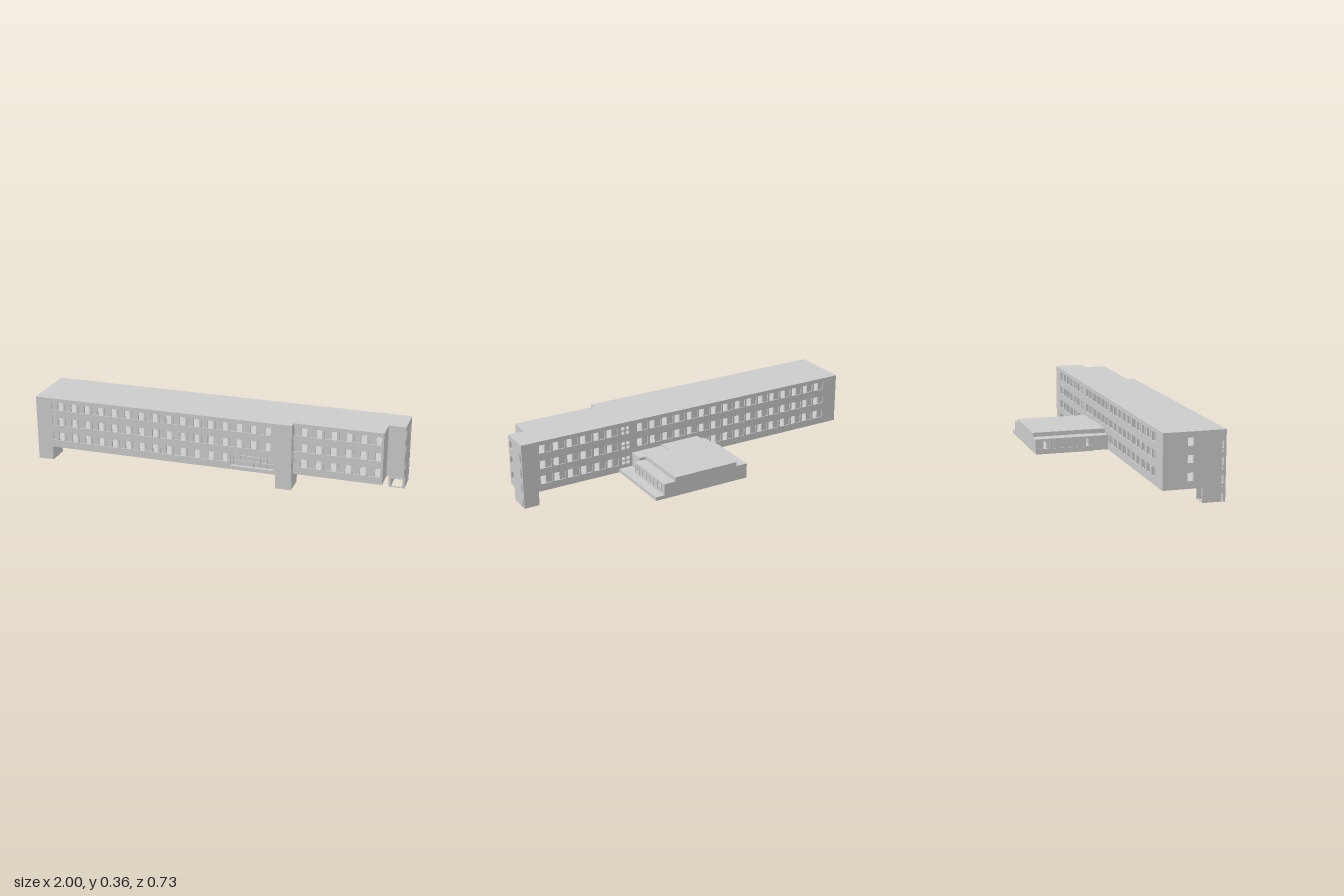
import * as THREE from 'three';

const mat = new THREE.MeshStandardMaterial({ color: 0xcccccc, side: THREE.DoubleSide, flatShading: true });
const BASE = 0.08, TOP = 0.36, T = 0.012;
const ROWS = [[0.117, 0.164], [0.205, 0.25], [0.292, 0.338]];
const BAY = 0.078, WIN = 0.067;

function add(parent, name, geometry) {
  const mesh = new THREE.Mesh(geometry, mat);
  mesh.name = name;
  parent.add(mesh);
  return mesh;
}

// Box given by its limits on each axis
function box(parent, name, x0, x1, y0, y1, z0, z1) {
  const mesh = add(parent, name, new THREE.BoxGeometry(x1 - x0, y1 - y0, z1 - z0));
  mesh.position.set((x0 + x1) / 2, (y0 + y1) / 2, (z0 + z1) / 2);
  return mesh;
}

function rectPath(u0, u1, y0, y1) {
  return new THREE.Path([[u0, y0], [u1, y0], [u1, y1], [u0, y1]].map(p => new THREE.Vector2(...p)));
}

// Upright wall from plan point a to b, outside on the right of the walk.
// legs: spans that reach the ground; holes: [u0, u1, y0, y1]; panes: holes given a half pane
function wall(parent, name, a, b, { y0 = BASE, y1 = TOP, legs = [], holes = [], windows = [] } = {}) {
  const dx = b[0] - a[0], dz = b[1] - a[1], length = Math.hypot(dx, dz);
  const pts = [[0, y0]];
  for (const [u0, u1] of legs) pts.push([u0, y0], [u0, 0], [u1, 0], [u1, y0]);
  pts.push([length, y0], [length, y1], [0, y1]);
  const clean = pts.map(p => new THREE.Vector2(...p)).filter((p, i, all) => i === 0 || p.distanceTo(all[i - 1]) > 1e-5);
  // drop the zero-width steps where a leg meets the end of the wall
  const outline = clean.filter((p, i) => !(p.y === y0 && legs.some(([u0, u1]) =>
    (p.x < 1e-5 && u0 < 1e-5) || (p.x > length - 1e-5 && u1 > length - 1e-5))));
  const shape = new THREE.Shape(outline);
  for (const h of [...holes, ...windows]) shape.holes.push(rectPath(...h));
  const group = new THREE.Group();
  group.name = name;
  group.position.set(a[0], 0, a[1]);
  group.rotation.y = Math.atan2(-dz, dx);
  const geometry = new THREE.ExtrudeGeometry(shape, { depth: T, bevelEnabled: false });
  geometry.translate(0, 0, -T);
  add(group, name + 'Panel', geometry);
  for (const [u0, u1, v0, v1] of windows) {
    const mid = (u0 + u1) / 2;
    const left = dx < 0 ? mid : u0; // panes of facing walls line up
    box(group, 'windowPane', left, left + (u1 - u0) / 2, v0, v1, -0.009, -0.006);
    box(group, 'mullion', mid - 0.002, mid + 0.002, v0, v1, -T, -0.002);
  }
  parent.add(group);
}

// Stepped floor plate of the main block, drawn in from the wall faces
function plate(parent, name, y0, y1, d = 0.003) {
  const plan = [[-1 + d, 0.04 + d], [1 - d, 0.04 + d], [1 - d, 0.207 - d], [0.91 - d, 0.207 - d],
    [0.91 - d, 0.325 - d], [0.44 - d, 0.325 - d], [0.44 - d, 0.365 - d], [-1 + d, 0.365 - d]];
  const shape = new THREE.Shape(plan.map(([x, z]) => new THREE.Vector2(x, -z)));
  const geometry = new THREE.ExtrudeGeometry(shape, { depth: y1 - y0, bevelEnabled: false });
  geometry.rotateX(-Math.PI / 2).translate(0, y0, 0);
  add(parent, name, geometry);
}

// Grid of window openings as [x0, x1, y0, y1]
function bays(start, count, keep = () => true) {
  const list = [];
  ROWS.forEach(([y0, y1], row) => {
    for (let i = 0; i < count; i++) {
      if (keep(row, i)) list.push([start + i * BAY, start + i * BAY + WIN, y0, y1]);
    }
  });
  return list;
}

function mainBlock() {
  const g = new THREE.Group();
  g.name = 'mainBlock';
  const shift = (list, o) => list.map(([a, b, c, d]) => [a + o, b + o, c, d]);
  const slits = (u0, u1) => [[0.003, 0.043], [0.073, 0.132], [0.16, 0.22], [0.25, 0.305]].map(r => [u0, u1, ...r]);
  const ends = (u0, u1) => [[0.115, 0.157], [0.205, 0.245], [0.29, 0.33]].map(r => [u0, u1, ...r]);

  // Front: long wall with the entrance opening, then the set-back wing and the end tower
  const frontBays = bays(-0.909, 16, (row, i) => row > 0 || i < 13);
  wall(g, 'frontWall', [-1, 0.365], [0.44, 0.365], {
    legs: [[0, 0.085], [1.355, 1.44]], windows: shift(frontBays, 1), holes: [[1.11, 1.345, 0.097, 0.166]],
  });
  wall(g, 'projectionSide', [0.44, 0.365], [0.44, 0.325], { legs: [[0, 0.04]], holes: slits(0.005, 0.021) });
  wall(g, 'wingFront', [0.44, 0.325], [0.91, 0.325], { windows: shift(bays(0.444, 6), -0.44) });
  wall(g, 'wingSide', [0.91, 0.325], [0.91, 0.207]);
  wall(g, 'towerFront', [0.91, 0.207], [1, 0.207]);
  wall(g, 'towerSide', [1, 0.207], [1, 0.04], {
    legs: [[0.044, 0.167]], holes: [...slits(0.141, 0.159), ...ends(0.01, 0.04)],
  });

  // Back wall with the same bays and small paired lights between them
  const backBays = [...bays(-0.909, 16), ...bays(0.444, 6)].map(([a, b, c, d]) => [1 - b, 1 - a, c, d]);
  const lights = [];
  for (const [y0] of ROWS) for (const x of [0.375, 0.403]) for (const y of [y0, y0 + 0.026]) {
    lights.push([1 - x - 0.02, 1 - x, y, y + 0.018]);
  }
  wall(g, 'backWall', [1, 0.04], [-1, 0.04], { legs: [[0, 0.085]], windows: backBays, holes: lights });
  wall(g, 'leftEnd', [-1, 0.04], [-1, 0.365], {
    legs: [[0.205, 0.325]], holes: [...slits(0.304, 0.32), ...ends(0.127, 0.157)],
  });

  // Floors, roof and inner core
  plate(g, 'baseSlab', BASE - 0.003, 0.09, 0);
  plate(g, 'secondFloor', 0.172, 0.18);
  plate(g, 'thirdFloor', 0.26, 0.268);
  plate(g, 'roof', 0.348, TOP, 0);
  box(g, 'corePartition', 0.13, 0.43, 0.09, 0.348, 0.19, 0.2);

  // Recessed entrance glazing
  box(g, 'entranceGlazing', 0.1, 0.35, 0.09, 0.172, 0.325, 0.329);
  for (let i = 0; i <= 6; i++) {
    const x = 0.113 + i * 0.038;
    box(g, 'entranceMullion', x - 0.002, x + 0.002, 0.09, 0.172, 0.329, 0.335);
  }
  for (const y of [0.115, 0.145]) box(g, 'entranceRail', 0.1, 0.35, y, y + 0.003, 0.329, 0.335);
  return g;
}

// Hollow stair feet, each open on its inner side
function stairFeet() {
  const g = new THREE.Group();
  g.name = 'stairFeet';
  const foot = { y0: 0, y1: BASE };
  const open = { ...foot, holes: [[0.012, 0.073, 0.004, 0.07]] };
  wall(g, 'leftFootSide', [-0.915, 0.365], [-0.915, 0.245], foot);
  wall(g, 'leftFootDoorway', [-0.915, 0.245], [-1, 0.245], open);
  wall(g, 'middleFootSide', [0.355, 0.245], [0.355, 0.365], foot);
  wall(g, 'middleFootOuterSide', [0.44, 0.325], [0.44, 0.245], foot);
  wall(g, 'middleFootDoorway', [0.44, 0.245], [0.355, 0.245], open);
  wall(g, 'towerFootSide', [0.915, 0.04], [0.915, 0.163], foot);
  wall(g, 'towerFootDoorway', [0.915, 0.163], [1, 0.163], open);
  box(g, 'towerDoorRail', 0.927, 0.988, 0.047, 0.051, 0.152, 0.16);
  return g;
}

// Low hall behind the main block
function rearHall() {
  const g = new THREE.Group();
  g.name = 'rearHall';
  box(g, 'terraceSlab', -0.115, 0.44, 0.077, 0.097, -0.367, -0.045);
  box(g, 'linkSlab', -0.105, 0.44, 0.077, 0.097, -0.045, 0.04);
  box(g, 'lowRoof', -0.115, 0.39, 0.154, 0.16, -0.367, -0.045);
  box(g, 'raisedRoof', -0.05, 0.325, 0.16, 0.183, -0.367, -0.045);
  box(g, 'hallBackWall', -0.115, 0.39, 0.097, 0.154, -0.367, -0.357);
  box(g, 'linkCorridor', -0.05, 0.18, 0.097, 0.183, -0.05, 0.04);
  box(g, 'linkLobby', 0.18, 0.36, 0.097, 0.176, -0.045, 0.04);
  box(g, 'linkSideRoom', -0.105, -0.05, 0.097, 0.158, -0.05, 0.04);

  // Glazed sides: eight bays, two of them left open
  for (const x of [-0.115, 0.382]) {
    box(g, 'sillRail', x, x + 0.008, 0.097, 0.105, -0.367, -0.045);
    box(g, 'headRail', x, x + 0.008, 0.147, 0.154, -0.367, -0.045);
    for (let i = 0; i < 8; i++) {
      const z = -0.047 - i * 0.0395;
      box(g, 'sidePost', x, x + 0.008, 0.105, 0.147, z - 0.005, z);
      const gap = i === 0 || i === 6;
      box(g, 'sidePane', x + 0.003, x + 0.005, 0.105, 0.147, z - (gap ? 0.024 : 0.04), z - 0.005);
    }
  }
  return g;
}

export function createModel() {
  const model = new THREE.Group();
  model.name = 'building';
  model.add(mainBlock(), stairFeet(), rearHall());
  return model;
}
